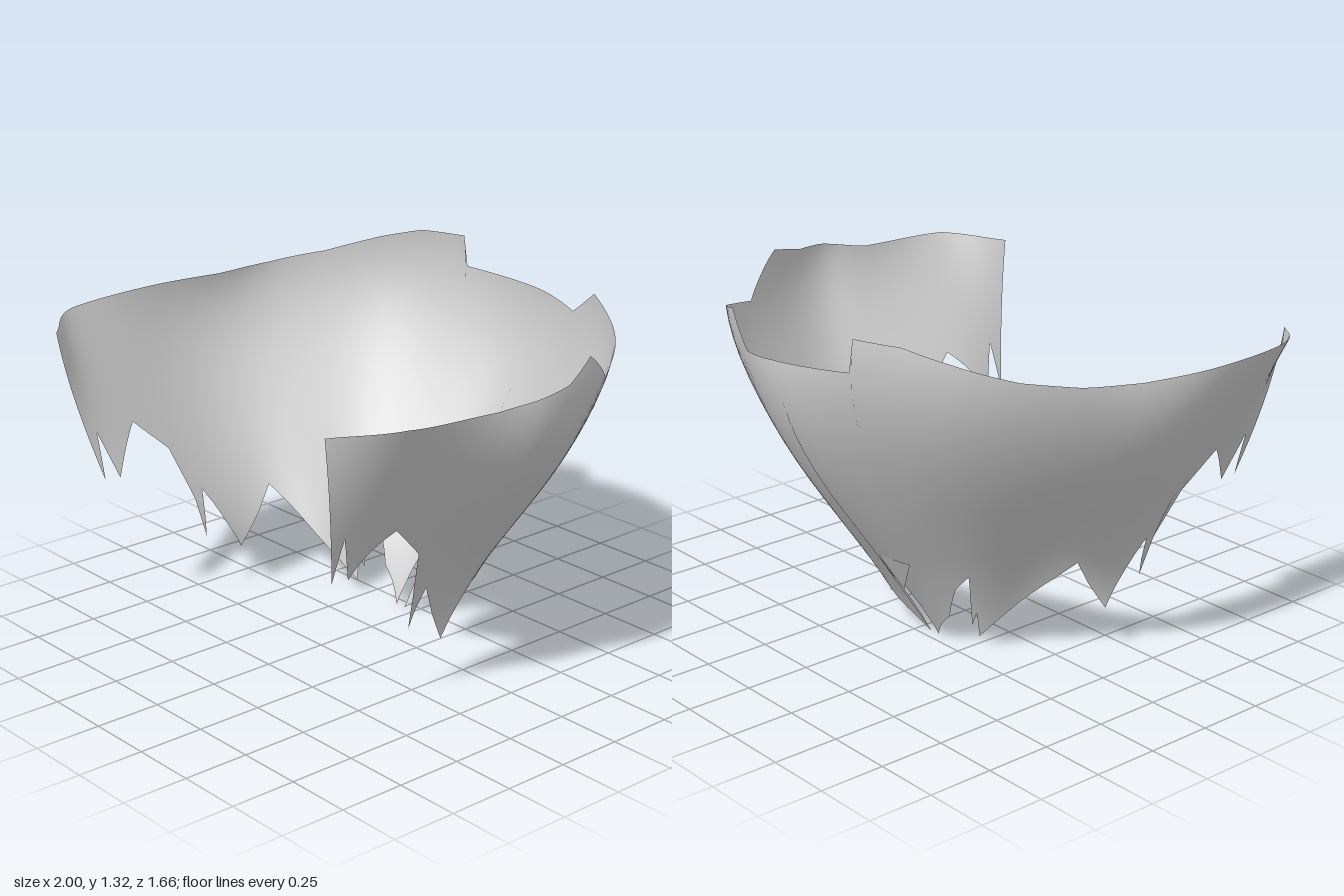
import * as THREE from 'three';

// Guide columns, running from the right front edge round the back to the left
// front edge. Each holds x, z at the heights 1.2, 0.8, 0.4 and 0.
const LEVELS = [1.2, 0.8, 0.4, 0];
const COLUMNS = [
  [-0.79, 0.835, -0.74, 0.765, -0.63, 0.67, -0.5, 0.58],
  [-0.97, 0.66, -0.78, 0.58, -0.62, 0.5, -0.54, 0.45],
  [-1.0, 0.28, -0.87, 0.24, -0.66, 0.22, -0.65, 0.2],
  [-0.95, -0.05, -0.87, 0, -0.63, 0.03, -0.61, 0.06],
  [-0.88, -0.33, -0.76, -0.24, -0.52, -0.13, -0.38, -0.03],
  [-0.65, -0.62, -0.56, -0.5, -0.4, -0.3, -0.26, -0.18],
  [-0.33, -0.77, -0.28, -0.65, -0.21, -0.42, -0.14, -0.2],
  [0.03, -0.83, 0, -0.73, -0.03, -0.47, -0.05, -0.21],
  [0.36, -0.75, 0.29, -0.64, 0.18, -0.42, 0.09, -0.2],
  [0.67, -0.57, 0.54, -0.47, 0.35, -0.28, 0.21, -0.18],
  [0.88, -0.25, 0.75, -0.2, 0.48, -0.12, 0.32, -0.03],
  [1.0, 0.08, 0.85, 0.03, 0.57, 0.02, 0.53, 0.06],
  [0.95, 0.3, 0.82, 0.24, 0.59, 0.22, 0.58, 0.2],
  [0.91, 0.64, 0.72, 0.56, 0.55, 0.48, 0.46, 0.42],
  [0.72, 0.835, 0.67, 0.765, 0.56, 0.67, 0.45, 0.58],
];

// Upper edge and ragged lower edge: [column position, height]
const TOP = [
  [0, 1.145], [1, 1.165], [3, 1.17], [3.8, 1.19], [4.4, 1.22], [5, 1.28], [5.5, 1.32], [6.02, 1.32],
  [6.04, 1.2], [7, 1.17], [7.65, 1.14], [8.1, 1.25], [9, 1.165], [9.6, 1.11], [10.2, 1.25],
  [10.7, 1.205], [11.1, 1.2], [12, 1.17], [13, 1.175], [14, 1.145],
];
const BOTTOM = [
  [0, 0.575], [0.27, 0.75], [0.38, 0.57], [1.15, 0.74], [1.5, 0.61], [1.62, 0.4], [1.64, 0.265],
  [1.78, 0.435], [2.05, 0.3], [2.35, 0.18], [2.85, 0.3], [3.2, 0.4], [4, 0.23], [4.9, 0.05],
  [5, 0.16], [5.1, 0.1], [5.12, 0.34], [5.4, 0.27], [5.7, 0.12], [6.55, 0], [6.95, 0.35],
  [7, 0], [7.9, 0.1], [8.65, 0.28], [8.8, 0.1], [9, 0.17], [9.12, 0.05], [10, 0.23], [10.8, 0.4],
  [11.15, 0.3], [11.65, 0.18], [11.95, 0.3], [12.22, 0.435], [12.36, 0.265], [12.38, 0.4],
  [12.5, 0.61], [12.85, 0.74], [13.62, 0.57], [13.73, 0.75], [14, 0.575],
];

// Height of a jagged edge at column position u
function edgeHeight(edge, u) {
  const i = Math.max(1, edge.findIndex(p => p[0] >= u));
  const [u0, y0] = edge[i - 1], [u1, y1] = edge[i];
  return THREE.MathUtils.lerp(y0, y1, (u - u0) / (u1 - u0));
}

// Catmull-Rom across the columns for number k of each column
function across(u, k) {
  const last = COLUMNS.length - 1;
  const i = Math.min(Math.floor(u), last - 1), t = u - i;
  const b = COLUMNS[i][k], c = COLUMNS[i + 1][k];
  const a = i > 0 ? COLUMNS[i - 1][k] : 2 * b - c;
  const d = i + 2 <= last ? COLUMNS[i + 2][k] : 2 * c - b;
  return b + 0.5 * t * (c - a + t * (2 * a - 5 * b + 4 * c - d + t * (3 * (b - c) + d - a)));
}

// Point of the flared shell at column position u and height y (cubic in y)
function shellPoint(u, y) {
  const point = new THREE.Vector3(0, y, 0);
  LEVELS.forEach((level, i) => {
    let w = 1;
    LEVELS.forEach((other, j) => { if (j !== i) w *= (y - other) / (level - other); });
    point.x += w * across(u, 2 * i);
    point.z += w * across(u, 2 * i + 1);
  });
  return point;
}

// Outward normal from the slopes of the shell, smooth right up to the teeth
function shellNormal(u, y) {
  const along = shellPoint(Math.min(u + 0.3, 14), y).sub(shellPoint(Math.max(u - 0.3, 0), y));
  const up = shellPoint(u, y + 0.02).sub(shellPoint(u, y - 0.02));
  return up.cross(along).normalize();
}

function shellGeometry(rows = 16) {
  // Even steps plus every corner of both edges keep the points sharp
  const even = Array.from({ length: 141 }, (_, i) => i / 10);
  const stops = [...new Set([...even, ...TOP.map(p => p[0]), ...BOTTOM.map(p => p[0])])].sort((a, b) => a - b);
  const positions = [], normals = [], index = [];
  stops.forEach((u, i) => {
    const low = edgeHeight(BOTTOM, u), high = edgeHeight(TOP, u);
    for (let r = 0; r <= rows; r++) {
      const y = THREE.MathUtils.lerp(low, high, r / rows);
      positions.push(...shellPoint(u, y));
      normals.push(...shellNormal(u, y));
      if (i === 0 || r === 0) continue;
      const d = i * (rows + 1) + r, c = d - 1, b = d - rows - 1, a = b - 1;
      index.push(a, b, c, b, d, c);
    }
  });
  const geometry = new THREE.BufferGeometry();
  geometry.setAttribute('position', new THREE.Float32BufferAttribute(positions, 3));
  geometry.setAttribute('normal', new THREE.Float32BufferAttribute(normals, 3));
  geometry.setIndex(index);
  return geometry;
}

// Small loose triangle beside the middle slit at the back
function flapGeometry() {
  const corners = [-0.2, 0.375, -0.43, -0.05, 0.37, -0.45, -0.08, 0.22, -0.36];
  const geometry = new THREE.BufferGeometry();
  geometry.setAttribute('position', new THREE.Float32BufferAttribute(corners, 3));
  geometry.computeVertexNormals();
  return geometry;
}

export function createModel() {
  const group = new THREE.Group();
  group.name = 'raggedShell';
  const material = new THREE.MeshStandardMaterial({ color: 0xcccccc, side: THREE.DoubleSide });
  const parts = { jaggedWrap: shellGeometry(), backFlap: flapGeometry() };
  for (const [name, geometry] of Object.entries(parts)) {
    const mesh = new THREE.Mesh(geometry, material);
    mesh.name = name;
    group.add(mesh);
  }
  return group;
}
